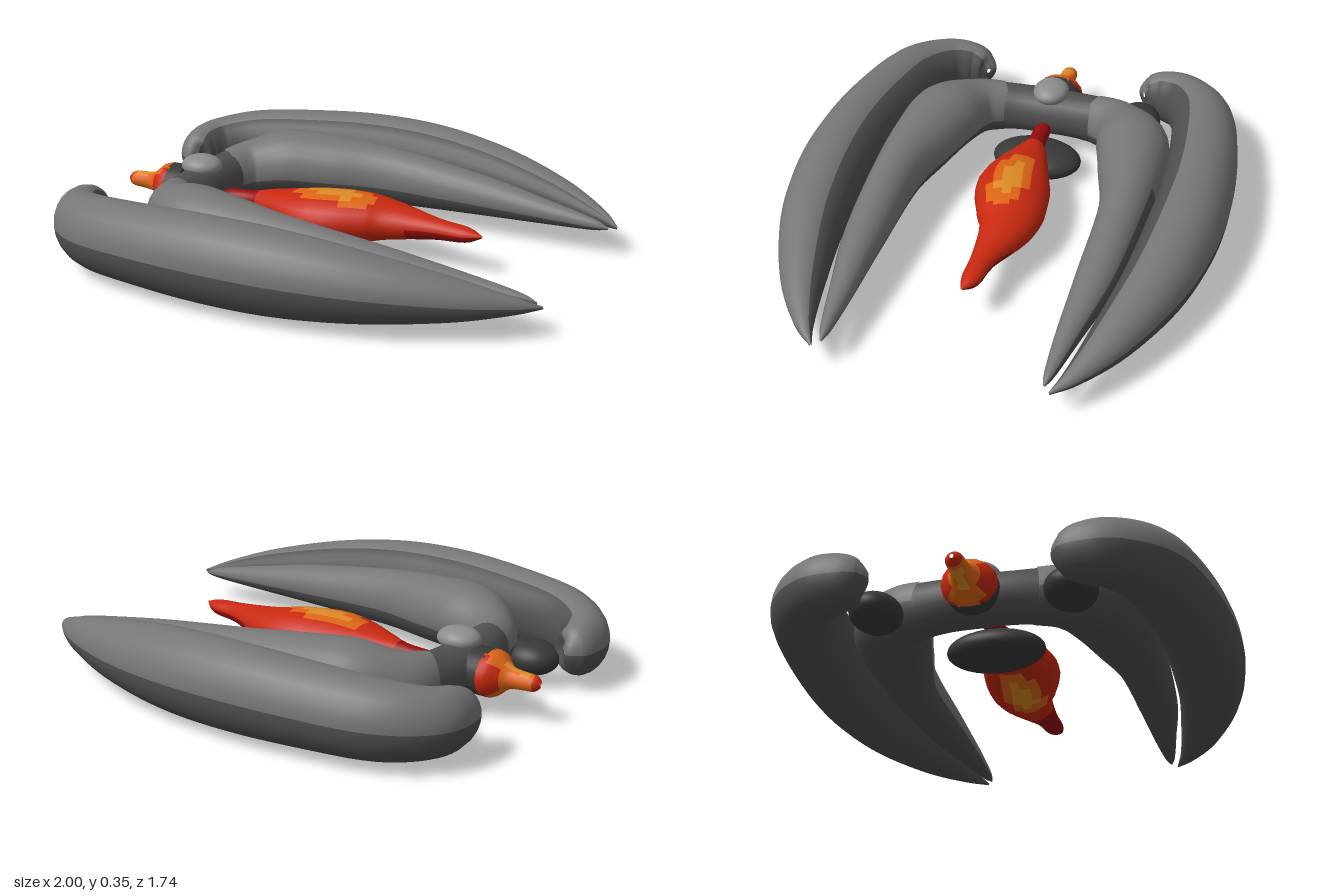
import * as THREE from 'three';

const mat = (name, color) => {
  const m = new THREE.MeshStandardMaterial({ color });
  m.name = name;
  return m;
};

// Sweep an elliptical section along rows of [x, z, halfWidth, yCentre, halfHeight].
// pick(angleDegrees, x, z) returns the material index of a face.
function sweep(rows, side, steps, segs, pick) {
  const path = new THREE.CatmullRomCurve3(rows.map(r => new THREE.Vector3(r[0], r[3], r[1])), false, 'catmullrom', 0.5);
  const size = new THREE.CatmullRomCurve3(rows.map(r => new THREE.Vector3(r[2], r[4], 0)), false, 'catmullrom', 0.5);
  const n = (rows.length - 1) * steps;
  const pos = [], buckets = [];
  for (let i = 0; i <= n; i++) {
    const p = path.getPoint(i / n), t = path.getTangent(i / n), s = size.getPoint(i / n);
    const len = Math.hypot(t.x, t.z);
    const w = Math.max(s.x, 0.002), h = Math.max(s.y, 0.002);
    for (let j = 0; j < segs; j++) {
      const a = j / segs * Math.PI * 2, c = Math.cos(a) * w;
      pos.push(p.x - t.z / len * c, p.y + Math.sin(a) * h, side * (p.z + t.x / len * c));
    }
  }
  for (let i = 0; i < n; i++) {
    for (let j = 0; j < segs; j++) {
      const k = (j + 1) % segs;
      const q = [i * segs + j, (i + 1) * segs + j, (i + 1) * segs + k, i * segs + k];
      const x = (pos[q[0] * 3] + pos[q[2] * 3]) / 2, z = (pos[q[0] * 3 + 2] + pos[q[2] * 3 + 2]) / 2;
      const m = pick((j + 0.5) / segs * 360, x, z);
      const [a, b, c, d] = side > 0 ? q : [q[3], q[2], q[1], q[0]];
      (buckets[m] ??= []).push(a, b, c, a, c, d);
    }
  }
  const g = new THREE.BufferGeometry();
  g.setAttribute('position', new THREE.Float32BufferAttribute(pos, 3));
  g.setIndex(buckets.flat());
  let start = 0;
  buckets.forEach((b, m) => { g.addGroup(start, b.length, m); start += b.length; });
  g.computeVertexNormals();
  return g;
}

const outerRows = [
  [-0.89, 0.355, 0.01, 0.17, 0.01], [-0.9, 0.37, 0.065, 0.17, 0.08], [-0.91, 0.44, 0.085, 0.17, 0.115],
  [-0.87, 0.545, 0.107, 0.172, 0.13], [-0.73, 0.64, 0.13, 0.18, 0.147], [-0.5, 0.69, 0.14, 0.188, 0.157],
  [-0.2, 0.72, 0.145, 0.192, 0.167], [0.1, 0.715, 0.145, 0.188, 0.162], [0.4, 0.675, 0.125, 0.176, 0.133],
  [0.7, 0.59, 0.085, 0.155, 0.084], [0.9, 0.505, 0.038, 0.135, 0.036], [1, 0.44, 0.003, 0.12, 0.005]];

const innerRows = [
  [-0.645, 0.2, 0.085, 0.17, 0.11], [-0.59, 0.31, 0.11, 0.18, 0.12], [-0.45, 0.4, 0.15, 0.2, 0.14],
  [-0.25, 0.44, 0.133, 0.195, 0.135], [0, 0.468, 0.1, 0.185, 0.12], [0.4, 0.46, 0.08, 0.165, 0.085],
  [0.7, 0.435, 0.048, 0.145, 0.05], [0.9, 0.42, 0.022, 0.13, 0.024], [0.97, 0.415, 0.003, 0.122, 0.004]];

const bridgeRows = [
  [-0.635, 0.23, 0.084, 0.17, 0.108], [-0.65, 0.12, 0.09, 0.17, 0.1], [-0.655, 0, 0.095, 0.17, 0.1],
  [-0.65, -0.12, 0.09, 0.17, 0.1], [-0.635, -0.23, 0.084, 0.17, 0.108]].reverse();

const coreRows = [
  [-0.54, 0, 0.003, 0.16, 0.003], [-0.52, 0, 0.033, 0.16, 0.03], [-0.4, 0, 0.04, 0.16, 0.04],
  [-0.3, 0, 0.08, 0.16, 0.06], [-0.1, 0.005, 0.148, 0.155, 0.095], [0.08, -0.033, 0.137, 0.155, 0.095],
  [0.2, -0.045, 0.105, 0.155, 0.075], [0.4, -0.02, 0.05, 0.16, 0.042], [0.53, -0.01, 0.037, 0.16, 0.03],
  [0.6, 0.003, 0.003, 0.165, 0.003]];

const exhaustRows = [
  [-1, 0, 0.008, 0.17, 0.008], [-0.975, 0, 0.032, 0.17, 0.03], [-0.92, 0, 0.036, 0.17, 0.035],
  [-0.87, 0, 0.045, 0.17, 0.045], [-0.82, 0, 0.095, 0.17, 0.085], [-0.78, 0, 0.105, 0.17, 0.09]];

export function createModel() {
  const root = new THREE.Group();
  root.name = 'spacecraft';
  const light = mat('light grey hull', 0x767676), dark = mat('dark grey hull', 0x505050);
  const black = mat('charcoal', 0x383838), pale = mat('pale grey', 0x8c8c8c);
  const red = mat('red', 0xc8280f), deep = mat('deep red', 0x960c0a);
  const orange = mat('orange', 0xdc6414), gold = mat('amber', 0xdd8a26);

  const add = (name, geo, material) => {
    const m = new THREE.Mesh(geo, material);
    m.name = name;
    root.add(m);
    return m;
  };
  const pod = (name, material, p, r) => {
    const m = add(name, new THREE.SphereGeometry(1, 32, 20), material);
    m.position.set(...p);
    m.scale.set(...r);
  };

  // Paired prongs, pale on top and darker underneath
  for (const side of [1, -1]) {
    const s = side > 0 ? 'Front' : 'Back';
    add('outerProng' + s, sweep(outerRows, side, 6, 24, a => (a < 122 ? 0 : 1)), [light, dark]);
    add('innerProng' + s, sweep(innerRows, side, 6, 24, (a, x) => (a < 190 && (x < -0.12 || a > 30) ? 0 : 1)), [light, dark]);
    pod('sidePod' + s, black, [-0.75, 0.12, side * 0.36], [0.115, 0.07, 0.097]);
  }

  // Cross bridge with knob above and pod below
  add('bridge', sweep(bridgeRows, 1, 6, 24, () => 0), [dark]);
  pod('topKnob', pale, [-0.645, 0.275, 0], [0.087, 0.045, 0.075]);
  pod('bellyPod', black, [-0.43, 0.075, 0], [0.125, 0.07, 0.188]);

  // Glowing core, hottest in the middle
  add('glowingCore', sweep(coreRows, 1, 4, 24, (a, x, z) => {
    const d = Math.hypot((x + 0.03) / 0.2, z / 0.085);
    if (d < 0.55) return 3;
    if (d < 0.9) return 2;
    return x < -0.38 || (x > 0.3 && a > 180) ? 1 : 0;
  }), [red, deep, orange, gold]);

  // Rear nozzle and its flame
  const nozzle = add('nozzleRing', new THREE.CylinderGeometry(0.1, 0.1, 0.07, 24), black);
  nozzle.rotation.z = Math.PI / 2;
  nozzle.position.set(-0.755, 0.17, 0);
  nozzle.scale.set(0.9, 1, 1);
  add('exhaustFlame', sweep(exhaustRows, 1, 3, 16, (a, x, z) =>
    (x < -0.975 || Math.abs(z) > 0.055 ? 0 : x > -0.95 && x < -0.85 && Math.abs(z) < 0.02 ? 2 : 1)), [red, orange, gold]);
  return root;
}
